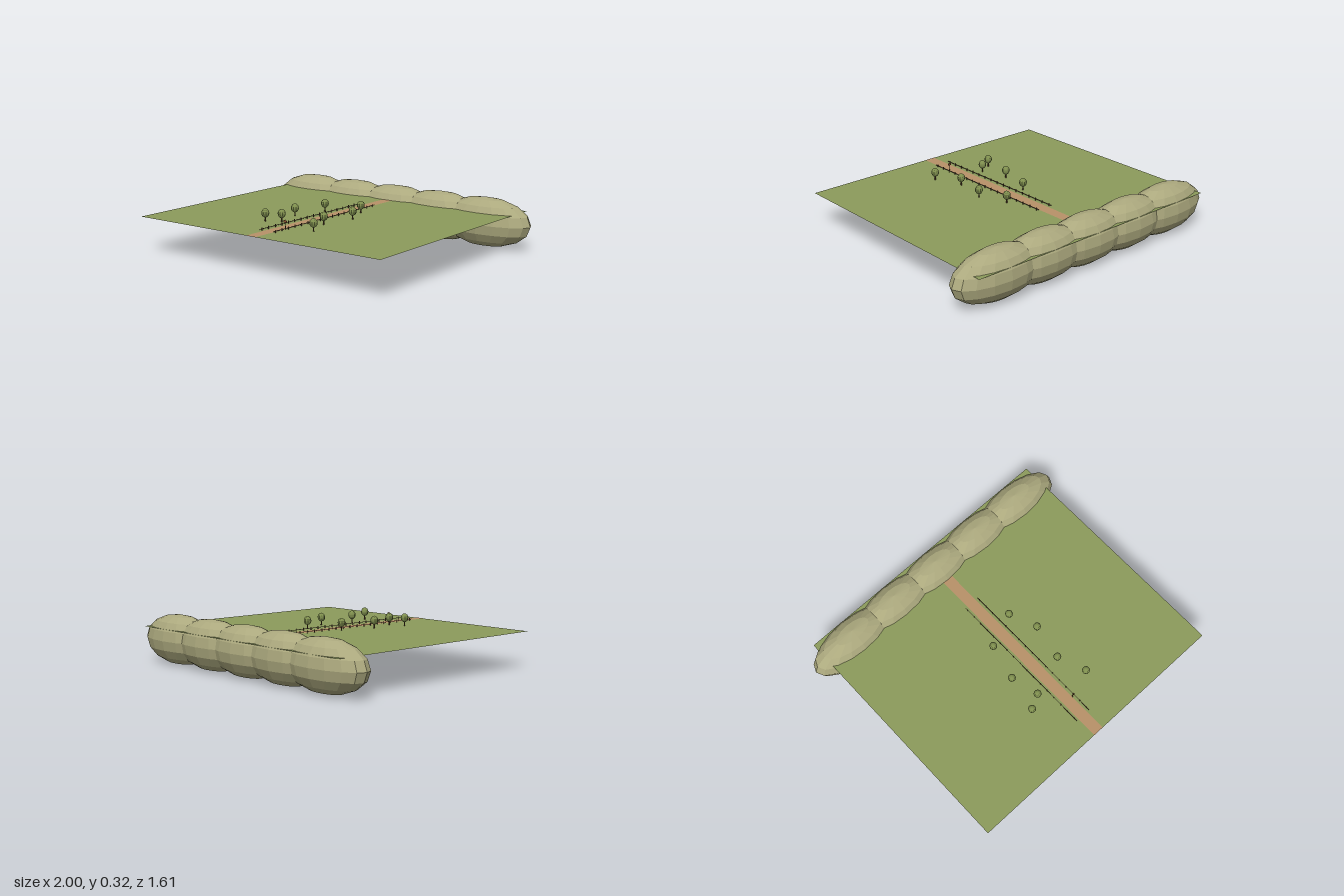
import * as THREE from 'three';

const GROUND_Y = 0.232;

function material(name, color, options = {}) {
  const m = new THREE.MeshStandardMaterial({ color, ...options });
  m.name = name;
  return m;
}

function addMesh(parent, name, geometry, mat, x, y, z) {
  const mesh = new THREE.Mesh(geometry, mat);
  mesh.name = name;
  mesh.position.set(x, y, z);
  parent.add(mesh);
  return mesh;
}

export function createModel() {
  const model = new THREE.Group();
  model.name = 'countryside';

  const grass = material('grass green', 0x8c9b5c, { side: THREE.DoubleSide });
  const dirt = material('path tan', 0xb89268);
  const hillside = material('hill olive', 0xaca97e, { flatShading: true });
  const leaves = material('leaf green', 0x7f8f4e, { flatShading: true });
  const bark = material('bark brown', 0x5a4028);
  const fenceWood = material('fence brown', 0x4e3a26);
  const signWood = material('sign brown', 0x8a5030);

  // Flat field and the path down its middle
  const field = new THREE.PlaneGeometry(1.81, 1.595).rotateX(-Math.PI / 2);
  addMesh(model, 'field', field, grass, 0, GROUND_Y, 0.0075);
  const path = new THREE.PlaneGeometry(0.07, 1.4).rotateX(-Math.PI / 2);
  addMesh(model, 'path', path, dirt, 0, GROUND_Y + 0.001, 0.105);

  // Row of overlapping hills along the back
  const hill = new THREE.SphereGeometry(1, 16, 8).scale(0.32, 0.159, 0.136);
  for (let i = -2; i <= 2; i++) {
    addMesh(model, 'hill', hill, hillside, i * 0.34, 0.159, -0.67);
  }

  // Scattered trees beside the path
  const trunk = new THREE.CylinderGeometry(0.003, 0.0045, 0.03, 6);
  const crown = new THREE.SphereGeometry(1, 10, 8).scale(0.0245, 0.028, 0.0245);
  const treeSpots = [
    [-0.105, -0.015], [0.11, -0.105], [0.18, 0.075], [-0.162, 0.213],
    [0.135, 0.303], [-0.117, 0.393], [-0.207, 0.44], [0.202, 0.485],
  ];
  for (const [x, z] of treeSpots) {
    const tree = new THREE.Group();
    tree.name = 'tree';
    tree.position.set(x, GROUND_Y, z);
    addMesh(tree, 'trunk', trunk, bark, 0, 0.015, 0);
    addMesh(tree, 'crown', crown, leaves, 0, 0.051, 0);
    model.add(tree);
  }

  // A post and rail fence on each side of the path
  const rail = new THREE.BoxGeometry(0.003, 0.003, 1);
  const post = new THREE.BoxGeometry(0.004, 0.018, 0.004);
  for (const side of [-1, 1]) {
    const fence = new THREE.Group();
    fence.name = side > 0 ? 'leftFence' : 'rightFence';
    fence.position.set(side * 0.051, GROUND_Y, 0.17);
    addMesh(fence, 'rail', rail, fenceWood, 0, 0.01, 0);
    for (let i = 0; i <= 16; i++) {
      addMesh(fence, 'post', post, fenceWood, 0, 0.009, -0.48 + i * 0.06);
    }
    model.add(fence);
  }

  // Signpost at the edge of the path
  const sign = new THREE.Group();
  sign.name = 'signpost';
  sign.position.set(0.037, GROUND_Y, 0.542);
  addMesh(sign, 'signPole', new THREE.CylinderGeometry(0.002, 0.002, 0.058, 6), bark, 0, 0.029, 0);
  addMesh(sign, 'signBoard', new THREE.BoxGeometry(0.022, 0.013, 0.003), signWood, 0, 0.048, 0.002);
  model.add(sign);

  return model;
}
